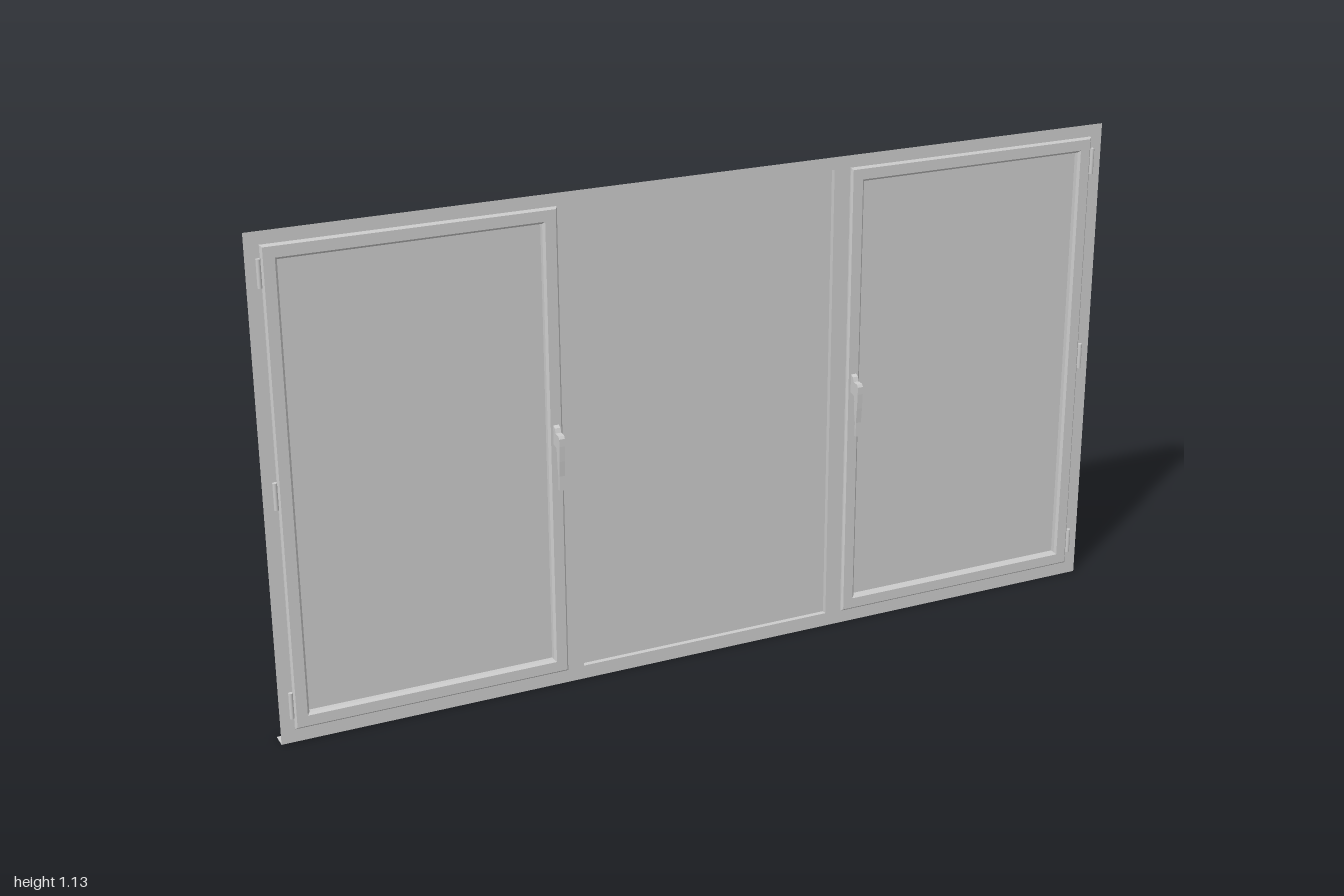
import * as THREE from 'three';

const W = 2, H = 1.13;             // overall size
const MID = H / 2 + 0.002;         // height of the centre of every light
const SASH = { x: 0.657, w: 0.624, h: 1.07 };
const FIXED = { w: 0.612, h: 1.07 };

const material = new THREE.MeshStandardMaterial({ color: 0xcccccc, side: THREE.DoubleSide });

function add(parent, name, geometry, x = 0, y = 0, z = 0) {
  const mesh = new THREE.Mesh(geometry, material);
  mesh.name = name;
  mesh.position.set(x, y, z);
  parent.add(mesh);
  return mesh;
}

// Mitred rectangular ring swept through steps of [inset, z], outside first
function mitredRing(w, h, steps) {
  const points = [];
  const corners = ([inset, z]) => {
    const a = w / 2 - inset, b = h / 2 - inset;
    return [[-a, -b, z], [a, -b, z], [a, b, z], [-a, b, z]];
  };
  for (let s = 0; s < steps.length - 1; s++) {
    const outer = corners(steps[s]), inner = corners(steps[s + 1]);
    for (let i = 0; i < 4; i++) {
      const j = (i + 1) % 4;
      points.push(...outer[i], ...outer[j], ...inner[j], ...outer[i], ...inner[j], ...inner[i]);
    }
  }
  const geometry = new THREE.BufferGeometry();
  geometry.setAttribute('position', new THREE.Float32BufferAttribute(points, 3));
  geometry.computeVertexNormals();
  return geometry;
}

function rectangle(PathType, cx, cy, w, h) {
  return new PathType([
    [-1, -1], [1, -1], [1, 1], [-1, 1],
  ].map(([sx, sy]) => new THREE.Vector2(cx + sx * w / 2, cy + sy * h / 2)));
}

// Lever handle, drawn in side profile (distance out, height) and given a thickness
function handleGeometry() {
  const profile = [
    [0.008, 0.58], [0.023, 0.577], [0.026, 0.565], [0.027, 0.535], [0.031, 0.515],
    [0.031, 0.482], [0.036, 0.482], [0.036, 0.515], [0.039, 0.55], [0.041, 0.585],
    [0.041, 0.602], [0.037, 0.608], [0.021, 0.609], [0.017, 0.619], [0.008, 0.623],
  ];
  const shape = new THREE.Shape(profile.map(([out, y]) => new THREE.Vector2(out, y)));
  const geometry = new THREE.ExtrudeGeometry(shape, { depth: 0.013, bevelEnabled: false });
  geometry.translate(0, 0, -0.0065);
  return geometry.rotateY(-Math.PI / 2);
}

// Opening casement: moulded sash, glazing unit, hinges and handle
function casement(side) {
  const group = new THREE.Group();
  group.name = side > 0 ? 'leftCasement' : 'rightCasement';
  const cx = side * SASH.x;

  // Open-backed casing with a chamfered front and a bead around the glass
  add(group, 'sash', mitredRing(SASH.w, SASH.h, [
    [0, -0.037], [0, 0.004], [0.004, 0.008], [0.028, 0.008], [0.033, 0.003], [0.033, -0.012],
  ]), cx, MID);
  add(group, 'glazingUnit',
    new THREE.BoxGeometry(SASH.w - 0.064, SASH.h - 0.064, 0.032), cx, MID, -0.024);

  for (const y of [0.09, 0.57, 1.045]) {
    add(group, 'hinge', new THREE.CylinderGeometry(0.005, 0.005, 0.06, 12), side * 0.974, y, 0.0045);
  }
  add(group, 'handle', handleGeometry(), side * 0.361, 0, 0);
  return group;
}

export function createModel() {
  const model = new THREE.Group();
  model.name = 'threeLightWindow';

  // Thin face frame with three openings
  const face = rectangle(THREE.Shape, 0, H / 2, W, H);
  for (const [x, w, h] of [
    [-SASH.x, SASH.w, SASH.h], [0, FIXED.w, FIXED.h], [SASH.x, SASH.w, SASH.h],
  ]) {
    face.holes.push(rectangle(THREE.Path, x, MID, w, h));
  }
  add(model, 'faceFrame', new THREE.ShapeGeometry(face));

  // Thin sill running back along the bottom edge
  add(model, 'sill', new THREE.PlaneGeometry(W, 0.038).rotateX(-Math.PI / 2), 0, 0, -0.019);

  // Fixed centre light, set slightly back in its reveal
  add(model, 'centreReveal', mitredRing(FIXED.w, FIXED.h, [[0, -0.014], [0, 0]]), 0, MID);
  add(model, 'centreGlazingUnit',
    new THREE.BoxGeometry(FIXED.w, FIXED.h, 0.025), 0, MID, -0.0245);

  for (const side of [-1, 1]) model.add(casement(side));
  return model;
}
